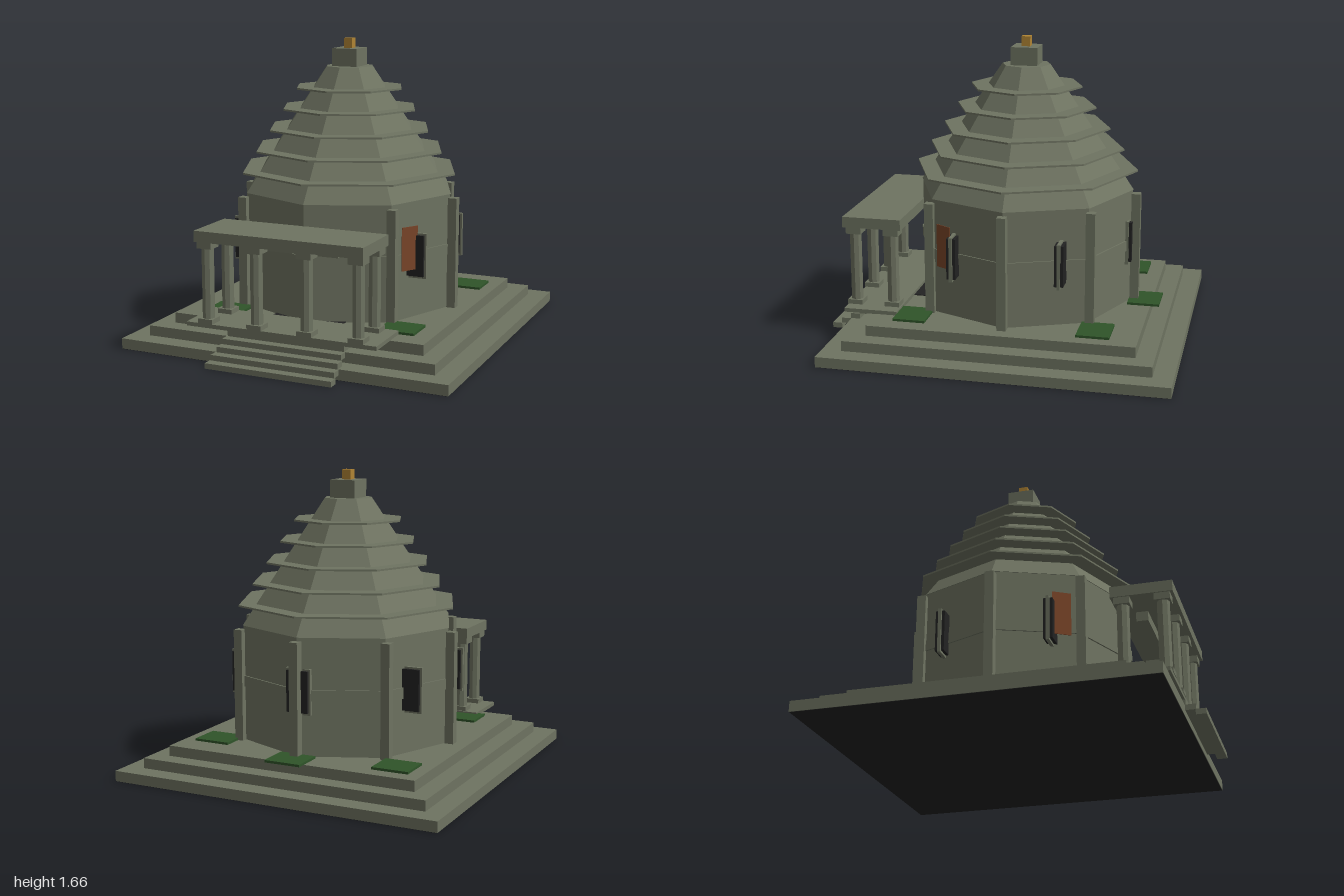
import * as THREE from 'three';

const paint = (name, color) => {
  const m = new THREE.MeshStandardMaterial({ color });
  m.name = name;
  return m;
};

export function createModel() {
  const stone = paint('stone', 0x6e7361);
  const dark = paint('dark', 0x222222);
  const moss = paint('moss', 0x2f5429);
  const clay = paint('clay', 0x7a4529);
  const gold = paint('gold', 0xb08434);

  const model = new THREE.Group();
  model.name = 'temple';
  const CZ = -0.057; // centre of the octagonal hall

  const add = (name, geometry, material, x, y, z) => {
    const mesh = new THREE.Mesh(geometry, material);
    mesh.name = name;
    mesh.position.set(x, y, z);
    model.add(mesh);
    return mesh;
  };
  // Box given by its centre in x and z, and its bottom and top
  const box = (name, material, x, z, w, d, y0, y1) =>
    add(name, new THREE.BoxGeometry(w, y1 - y0, d), material, x, (y0 + y1) / 2, z);
  // Flat-sided eight-cornered drum
  const octagon = (name, material, x, z, rTop, rBottom, y0, y1) => {
    const g = new THREE.CylinderGeometry(rTop, rBottom, y1 - y0, 8).toNonIndexed();
    g.computeVertexNormals();
    return add(name, g, material, x, (y0 + y1) / 2, z);
  };

  // Stepped platform
  box('platformUnderside', dark, 0, -0.055, 1.885, 1.885, 0, 0.004);
  box('platformLower', stone, 0, -0.055, 1.89, 1.89, 0.002, 0.06);
  box('platformMiddle', stone, 0, -0.055, 1.67, 1.67, 0.06, 0.117);
  box('platformUpper', stone, 0, -0.057, 1.466, 1.466, 0.117, 0.175);

  // Front stairs, narrowing upwards
  for (let i = 0; i < 6; i++) {
    box('stair', stone, 0, 0.973 - i * 0.053, 0.725 - i * 0.011, 0.055, i * 0.03, i * 0.03 + 0.03);
  }

  // Hall, string course and corner pilasters
  octagon('hallWall', stone, 0, CZ, 0.61, 0.61, 0.175, 0.82);
  octagon('stringCourse', stone, 0, CZ, 0.619, 0.619, 0.48, 0.54);
  for (let i = 1; i < 8; i++) {
    const a = (i * Math.PI) / 4;
    box('pilaster', stone, Math.sin(a) * 0.63, CZ + Math.cos(a) * 0.63, 0.05, 0.05, 0.175, 0.8);
  }

  // Roof with thin overhanging tiers, crown block and finial
  octagon('roof', stone, 0, CZ, 0.137, 0.614, 0.82, 1.51);
  for (let i = 0; i < 5; i++) {
    const r = 0.635 - i * 0.08;
    const y = 0.93 + i * 0.115;
    octagon('roofTier', stone, 0, CZ, r, r, y - 0.005, y + 0.005);
  }
  box('crown', stone, 0, CZ, 0.15, 0.15, 1.51, 1.61);
  box('finial', gold, 0, CZ, 0.05, 0.05, 1.61, 1.665);

  // Windows every sixty degrees, except at the entrance
  for (let i = 1; i < 6; i++) {
    const a = (i * Math.PI) / 3;
    const x = Math.sin(a) * 0.59;
    const z = CZ + Math.cos(a) * 0.59;
    box('windowPane', dark, x, z, 0.125, 0.05, 0.415, 0.642);
    box('windowFrame', stone, x, z, 0.146, 0.018, 0.402, 0.652);
  }

  // Hanging panels beside the front windows
  for (const s of [-1, 1]) {
    const panel = box('hangingPanel', clay, s * 0.507, 0.295, 0.104, 0.004, 0.455, 0.695);
    panel.rotation.y = s * Math.atan2(0.088, 0.055);
  }

  // Porch: floor, roof, lintel and door slab
  box('porchFloor', stone, 0, 0.708, 1.1, 0.304, 0.174, 0.196);
  box('porchRoof', stone, 0, 0.713, 0.97, 0.332, 0.643, 0.703);
  box('doorLintel', stone, 0, 0.676, 0.54, 0.065, 0.59, 0.643);
  box('doorSlab', dark, 0, 0.5, 0.42, 0.2, 0.172, 0.18);

  // Porch columns: four in front, one behind each end
  const column = (x, z) => {
    box('columnBase', stone, x, z, 0.085, 0.085, 0.196, 0.222);
    octagon('columnShaft', stone, x, z, 0.034, 0.034, 0.222, 0.605);
    box('columnCapital', stone, x, z, 0.085, 0.085, 0.605, 0.643);
  };
  for (const x of [-0.435, -0.145, 0.145, 0.435]) column(x, 0.82);
  for (const x of [-0.435, 0.435]) column(x, 0.607);

  // Moss patches on the platform
  const patches = [[0, -0.75], [-0.556, -0.618], [0.556, -0.55], [-0.488, 0.497], [0.53, 0.465]];
  for (const [x, z] of patches) box('mossPatch', moss, x, z, 0.207, 0.18, 0.175, 0.188);

  return model;
}
